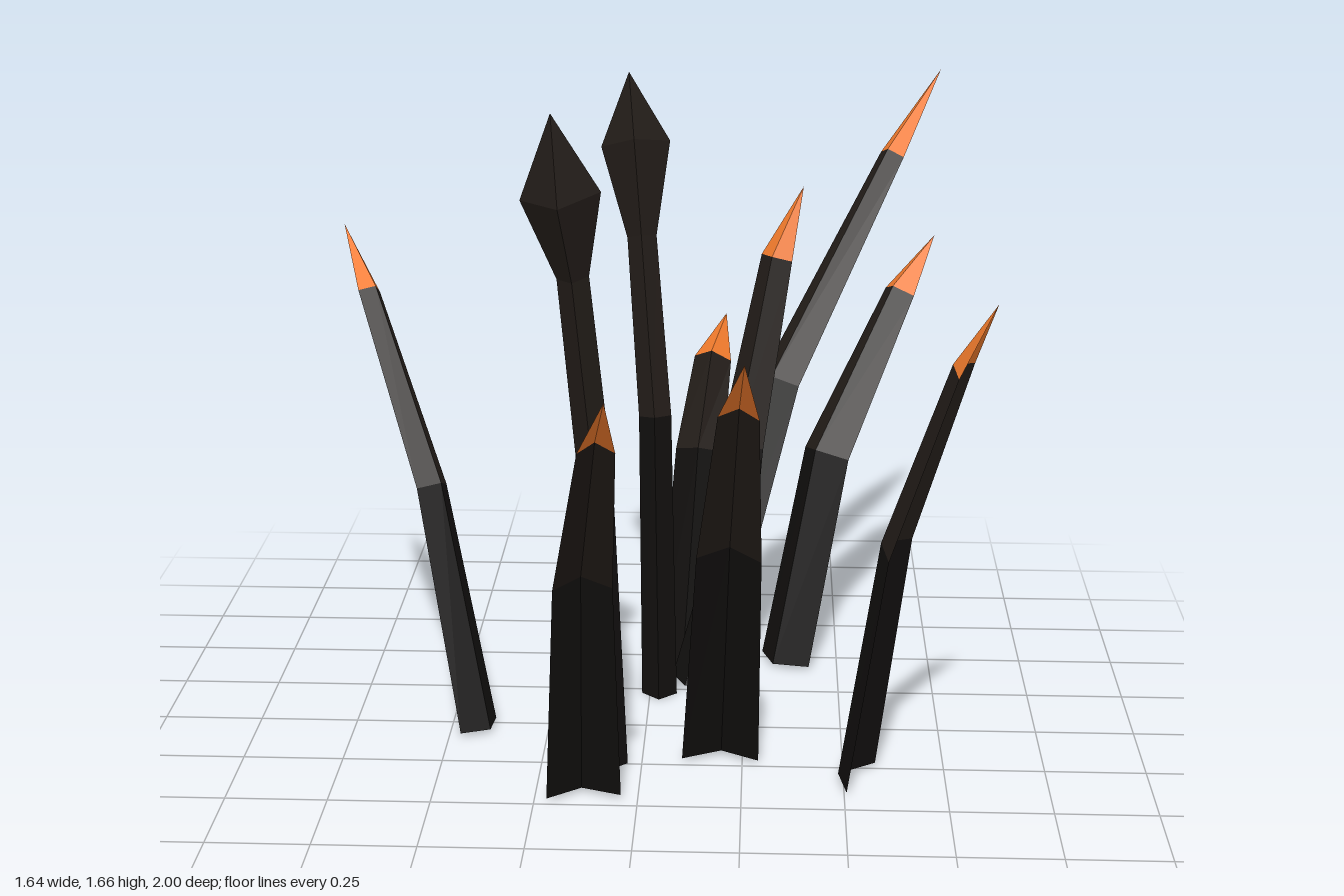
import * as THREE from 'three';

const mat = (color) => new THREE.MeshStandardMaterial({ color, flatShading: true, side: THREE.DoubleSide });

// Skin between two rings of points
function loft(name, a, b, closed, material) {
  const pos = [];
  const n = a.length;
  for (let i = 0; i < (closed ? n : n - 1); i++) {
    const j = (i + 1) % n;
    for (const p of [a[i], a[j], b[j], a[i], b[j], b[i]]) pos.push(p.x, p.y, p.z);
  }
  const geo = new THREE.BufferGeometry();
  geo.setAttribute('position', new THREE.Float32BufferAttribute(pos, 3));
  geo.computeVertexNormals();
  const mesh = new THREE.Mesh(geo, material);
  mesh.name = name;
  return mesh;
}

// Places flat offsets [dx, dz] around station i, tilted square to the path
function ringAt(stations, i, offsets) {
  const [x, y, z] = stations[i];
  const lo = stations[Math.max(i - 1, 0)];
  const hi = stations[Math.min(i + 1, stations.length - 1)];
  const k = i === 0 ? 0 : 1 / (hi[1] - lo[1]);
  const sx = (hi[0] - lo[0]) * k, sz = (hi[2] - lo[2]) * k;
  return offsets.map(([dx, dz]) => new THREE.Vector3(x + dx, y - dx * sx - dz * sz, z + dz));
}

// Each blade: direction across its width, then stations [x, y, z, width]
const BLADES = [
  { across: [0.59, -0.81], path: [[-0.43, 0.01, 0.045, 0.136], [-0.555, 0.61, -0.095, 0.11], [-0.74, 1.06, -0.35, 0.08], [-0.82, 1.21, -0.48, 0]] },
  { across: [0.99, -0.16], path: [[-0.13, 0.01, 0.475, 0.18], [-0.12, 0.59, 0.61, 0.14], [-0.07, 1.0, 0.875, 0.085], [-0.045, 1.15, 1.0, 0]] },
  { across: [1, 0.03], path: [[0.195, 0.01, 0.235, 0.19], [0.215, 0.6, 0.42, 0.155], [0.237, 1.01, 0.625, 0.095], [0.25, 1.165, 0.735, 0]] },
  { across: [-0.375, 0.927], path: [[0.543, 0.01, 0.33, 0.2], [0.622, 0.62, 0.385, 0.165], [0.757, 1.09, 0.487, 0.115], [0.82, 1.26, 0.535, 0]] },
  { across: [0.8, 0.6], path: [[0.12, 0.01, -0.29, 0.157], [0.335, 0.78, -0.53, 0.125], [0.635, 1.34, -0.845, 0.075], [0.77, 1.55, -1.0, 0]] },
  { across: [0.74, 0.67], path: [[0.36, 0.01, -0.46, 0.17], [0.465, 0.57, -0.56, 0.155], [0.66, 0.98, -0.74, 0.1], [0.755, 1.12, -0.825, 0]] },
  { across: [0.88, 0.47], path: [[0.17, 0.01, -0.32, 0.16], [0.235, 0.65, -0.37, 0.13], [0.322, 1.14, -0.44, 0.09], [0.39, 1.32, -0.49, 0]] },
  { across: [1, 0.1], path: [[0.085, 0.01, -0.4, 0.15], [0.12, 0.57, -0.575, 0.13], [0.15, 0.78, -0.76, 0.1], [0.185, 0.88, -0.875, 0]] },
];

// Each bud stalk: stations [x, y, z, half width] up to the head's point
const BUDS = [
  [[-0.08, 0.01, 0.268, 0.046], [-0.11, 0.78, 0.3, 0.042], [-0.155, 1.27, 0.36, 0.038], [-0.18, 1.47, 0.395, 0.094], [-0.2, 1.665, 0.415, 0]],
  [[0.025, 0.0, -0.222, 0.046], [0.01, 0.75, -0.285, 0.042], [-0.03, 1.2, -0.41, 0.038], [-0.05, 1.43, -0.488, 0.09], [-0.07, 1.61, -0.54, 0]],
];

export function createModel() {
  const model = new THREE.Group();
  model.name = 'grassClump';
  const lower = mat(0x110f0e), upper = mat(0x221c18), orange = mat(0xf07a2c);

  // Folded blades with bright tips
  for (const { across: [ax, az], path } of BLADES) {
    const blade = new THREE.Group();
    blade.name = 'blade';
    // The fold points away from the lean
    const lean = [path[3][0] - path[0][0], path[3][2] - path[0][2]];
    const s = -az * lean[0] + ax * lean[1] > 0 ? -0.3 : 0.3;
    const rings = path.map((p, i) => ringAt(path, i, [
      [-ax * p[3] / 2, -az * p[3] / 2],
      [-az * s * p[3], ax * s * p[3]],
      [ax * p[3] / 2, az * p[3] / 2],
    ]));
    blade.add(
      loft('bladeBase', rings[0], rings[1], false, lower),
      loft('bladeUpper', rings[1], rings[2], false, upper),
      loft('bladeTip', rings[2], rings[3], false, orange),
    );
    model.add(blade);
  }

  // Four-sided stalks with pointed heads
  for (const path of BUDS) {
    const bud = new THREE.Group();
    bud.name = 'budStalk';
    const rings = path.map((p, i) => ringAt(path, i, [[p[3], 0], [0, -p[3]], [-p[3], 0], [0, p[3]]]));
    bud.add(
      loft('stalkBase', rings[0], rings[1], true, lower),
      loft('stalkUpper', rings[1], rings[2], true, upper),
      loft('headLower', rings[2], rings[3], true, upper),
      loft('headPoint', rings[3], rings[4], true, upper),
    );
    model.add(bud);
  }
  return model;
}
